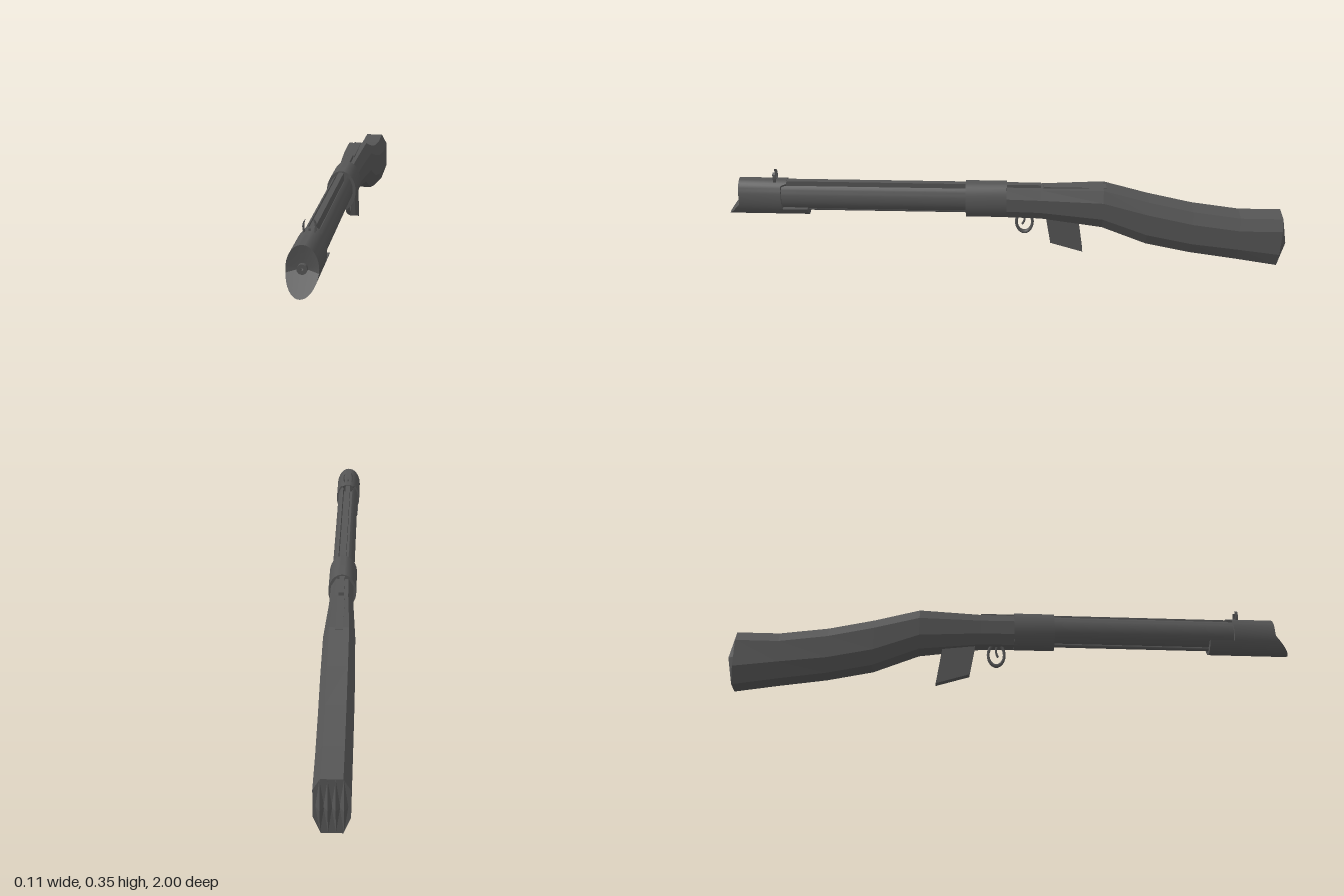
import * as THREE from 'three';
import { toCreasedNormals } from 'three/addons/utils/BufferGeometryUtils.js';

const steel = new THREE.MeshStandardMaterial({ color: 0x555555 });

// Joins rings of [x, y, z] (back to front, counter-clockwise seen from +z) and caps both ends.
function loft(rings, frontCentre) {
  const pos = [];
  const n = rings[0].length;
  const tri = (...p) => p.forEach((v) => pos.push(...v));
  const mean = (r) => [0, 1, 2].map((k) => r.reduce((s, p) => s + p[k], 0) / n);
  const first = rings[0], last = rings[rings.length - 1];
  const back = mean(first), front = frontCentre || mean(last);
  for (let j = 0; j < n; j++) {
    const k = (j + 1) % n;
    for (let i = 0; i < rings.length - 1; i++) {
      const a = rings[i], b = rings[i + 1];
      tri(a[j], a[k], b[k]);
      tri(a[j], b[k], b[j]);
    }
    tri(back, first[k], first[j]);
    tri(front, last[j], last[k]);
  }
  const geo = new THREE.BufferGeometry();
  geo.setAttribute('position', new THREE.Float32BufferAttribute(pos, 3));
  geo.computeVertexNormals();
  return geo;
}

// Extrudes an x-y outline between two z positions.
function prism(points, z0, z1) {
  const shape = new THREE.Shape(points.map(([x, y]) => new THREE.Vector2(x, y)));
  const geo = new THREE.ExtrudeGeometry(shape, { depth: z1 - z0, bevelEnabled: false });
  return toCreasedNormals(geo.translate(0, 0, z0), 0.5);
}

// Points along an elliptical arc.
function arc(cy, rx, ry, from, to, steps) {
  return Array.from({ length: steps + 1 }, (_, i) => {
    const t = from + ((to - from) * i) / steps;
    return [rx * Math.cos(t), cy + ry * Math.sin(t)];
  });
}

// Eight-sided stock section.
function stockRing([z, top, bottom, w, flat, topCut, bottomCut]) {
  const right = [[flat, bottom], [w, bottom + bottomCut], [w, top - topCut], [flat, top]];
  const left = right.map(([x, y]) => [-x, y]).reverse();
  return [...right, ...left].map(([x, y]) => [x, y, z]);
}

export function createModel() {
  const model = new THREE.Group();
  const add = (name, geo, x = 0, y = 0, z = 0, parent = model) => {
    const mesh = new THREE.Mesh(geo, steel);
    mesh.name = name;
    mesh.position.set(x, y, z);
    parent.add(mesh);
    return mesh;
  };
  const box = (name, w, y0, y1, z0, z1) =>
    add(name, new THREE.BoxGeometry(w, y1 - y0, z1 - z0), 0, (y0 + y1) / 2, (z0 + z1) / 2);

  // Shoulder stock: z, top, bottom, half width, half flat, top chamfer, bottom chamfer
  const sections = [
    [-0.98, 0.204, 0.005, 0.055, 0.033, 0.04, 0.06],
    [-0.83, 0.204, 0.03, 0.055, 0.033, 0.04, 0.055],
    [-0.66, 0.228, 0.056, 0.055, 0.033, 0.04, 0.05],
    [-0.5, 0.265, 0.091, 0.055, 0.033, 0.04, 0.05],
    [-0.34, 0.31, 0.158, 0.053, 0.033, 0.04, 0.045],
    [-0.12, 0.303, 0.185, 0.042, 0.024, 0.032, 0.035],
    [0.02, 0.303, 0.187, 0.04, 0.022, 0.03, 0.035],
  ];
  add('stock', loft(sections.map(stockRing)));

  // Ridged butt plate: a row of tall shallow pyramids
  for (let i = 0; i < 4; i++) {
    const ridge = new THREE.ConeGeometry(1, 1, 4).toNonIndexed();
    ridge.rotateX(-Math.PI / 2).scale(0.0125, 0.098, 0.02);
    ridge.computeVertexNormals();
    add('buttRidge', ridge, (i - 1.5) * 0.023, 0.104, -0.99);
  }

  // Forearm with an open channel along the top
  const gap = Math.PI / 2 - 0.5;
  const forearm = arc(0.256, 0.04, 0.053, Math.PI - gap, 2 * Math.PI + gap, 28);
  forearm.push([0.017, 0.285], [-0.017, 0.285]);
  add('forearm', prism(forearm, 0.1, 0.83));
  box('topRail', 0.018, 0.28, 0.315, -0.12, 0.82);
  box('stockTopPlate', 0.026, 0.29, 0.31, -0.35, -0.13);
  const rod = new THREE.CylinderGeometry(0.008, 0.008, 0.65, 10).rotateX(Math.PI / 2);
  add('cleaningRod', rod, 0, 0.2, 0.425);

  // Middle band
  add('band', prism(arc(0.25, 0.05, 0.07, 0, Math.PI * 2, 36).slice(0, -1), 0, 0.145));

  // Muzzle sleeve, with a longer lower lip in front and a longer lower shell behind
  const outline = arc(0.249, 0.047, 0.07, 0, Math.PI * 2, 40).slice(0, -1);
  const sleeve = loft([
    outline.map(([x, y]) => [x, y, y > 0.308 ? 0.78 : 0.8]),
    outline.map(([x, y]) => [x, y, 0.95 + 0.05 * Math.max(0, (0.24 - y) / 0.061)]),
  ], [0, 0.25, 0.94]);
  add('muzzleSleeve', toCreasedNormals(sleeve, 0.5));
  const dip = Math.asin(0.031 / 0.07);
  add('sleeveLowerShell', prism(arc(0.249, 0.047, 0.07, Math.PI + dip, 2 * Math.PI - dip, 20), 0.71, 0.81));

  // Barrel end with a small bore
  const bore = new THREE.LatheGeometry([
    [0.015, 0], [0.015, 0.02], [0.004, 0.02], [0.004, 0.005], [0, 0.005],
  ].map(([r, h]) => new THREE.Vector2(r, h)), 20).rotateX(Math.PI / 2);
  add('barrelEnd', toCreasedNormals(bore, 0.5), 0, 0.25, 0.937);

  // Front sight: two curved ears around a post
  const sight = new THREE.Group();
  sight.name = 'frontSight';
  model.add(sight);
  for (const s of [1, -1]) {
    const ear = [[0.015, 0.308], [0.0185, 0.318], [0.0205, 0.333], [0.018, 0.345], [0.012, 0.352],
      [0.0145, 0.343], [0.016, 0.333], [0.0145, 0.32], [0.01, 0.308]];
    add('sightEar', prism(ear.map(([x, y]) => [s * x, y]), 0.816, 0.826), 0, 0, 0, sight);
  }
  add('sightPost', new THREE.BoxGeometry(0.005, 0.016, 0.008), 0, 0.318, 0.821, sight);

  // Trigger guard and trigger
  const guard = new THREE.TorusGeometry(0.034, 0.006, 8, 28).rotateY(Math.PI / 2);
  guard.scale(1.3, 1.25, 0.85);
  add('triggerGuard', guard, 0, 0.155, -0.063);
  const trigger = new THREE.TubeGeometry(new THREE.QuadraticBezierCurve3(
    new THREE.Vector3(0, 0.192, -0.06),
    new THREE.Vector3(0, 0.165, -0.07),
    new THREE.Vector3(0, 0.145, -0.055),
  ), 8, 0.004, 6);
  add('trigger', trigger);

  // Slanted magazine, outlined in the y-z plane
  const magazine = prism([[0.137, 0.2], [0.158, 0.072], [0.276, 0.035], [0.252, 0.2]], -0.013, 0.013);
  add('magazine', magazine.rotateY(Math.PI / 2));

  return model;
}
